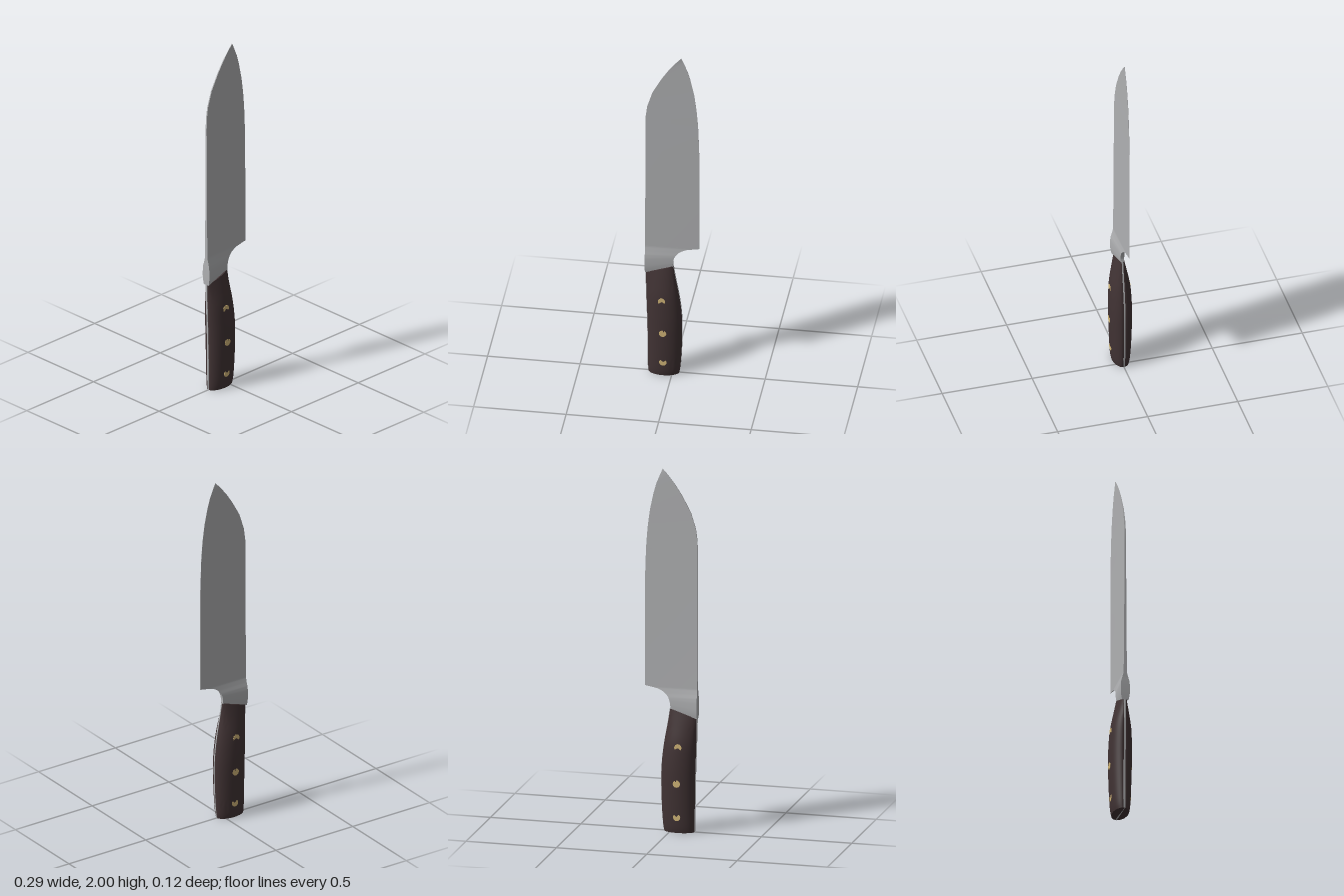
import * as THREE from 'three';
import { toCreasedNormals } from 'three/addons/utils/BufferGeometryUtils.js';

// Skins closed rings of [x, y, z] (counter-clockwise from above, bottom to top) and caps both ends
function loft(rings, crease) {
  const n = rings[0].length, pos = [], idx = [];
  rings.forEach(r => r.forEach(p => pos.push(...p)));
  for (let i = 0; i < rings.length - 1; i++) {
    for (let j = 0; j < n; j++) {
      const a = i * n + j, b = i * n + (j + 1) % n;
      idx.push(a, b, b + n, a, b + n, a + n);
    }
  }
  const top = (rings.length - 1) * n;
  for (let j = 1; j < n - 1; j++) {
    idx.push(0, j + 1, j);
    idx.push(top, top + j, top + j + 1);
  }
  const g = new THREE.BufferGeometry();
  g.setAttribute('position', new THREE.Float32BufferAttribute(pos, 3));
  g.setIndex(idx);
  return toCreasedNormals(g, crease);
}

// Wedge section: thick at the spine, thin at the cutting edge
// row: [y at spine, y at edge, spine x, edge x, spine half thickness, edge half thickness]
const wedge = ([yl, yr, x0, x1, ts, te]) =>
  [[x1, yr, te], [x1, yr, -te], [x0, yl, -ts], [x0, yl, ts]];

// Oval section; row: [y at spine, y at belly, spine x, belly x, half depth]
function oval([yl, yr, x0, x1, hz], n = 40) {
  return Array.from({ length: n }, (_, i) => {
    const a = i / n * Math.PI * 2, u = (1 + Math.cos(a)) / 2;
    return [x0 + (x1 - x0) * u, yl + (yr - yl) * u, -Math.sin(a) * hz];
  });
}

// Smoothly resamples rows along the length
function smoothRows(rows, steps) {
  const out = [];
  for (let i = 0; i < rows.length - 1; i++) {
    const [p, q, r, s] = [-1, 0, 1, 2].map(k => rows[Math.min(Math.max(i + k, 0), rows.length - 1)]);
    for (let k = 0; k < steps; k++) {
      const t = k / steps;
      out.push(q.map((v, c) => {
        const m0 = (r[c] - p[c]) / 2, m1 = (s[c] - v) / 2;
        return v + t * m0 + t * t * (3 * (r[c] - v) - 2 * m0 - m1) + t ** 3 * (2 * (v - r[c]) + m0 + m1);
      }));
    }
  }
  out.push(rows[rows.length - 1]);
  return out;
}

const BOLSTER = [
  [0.63, 0.675, -0.147, 0.004, 0.018, 0.009],
  [0.67, 0.69, -0.148, 0.002, 0.025, 0.010],
  [0.73, 0.73, -0.148, 0.010, 0.024, 0.010],
  [0.76, 0.76, -0.147, 0.032, 0.017, 0.006],
  [0.78, 0.78, -0.147, 0.068, 0.012, 0.003],
  [0.788, 0.788, -0.147, 0.105, 0.010, 0.0015],
  [0.795, 0.795, -0.147, 0.145, 0.009, 0.0008],
];

// Blade rows: [y, spine x, edge x, spine half thickness]
const BLADE = [
  [0.795, -0.147, 0.145, 0.009], [1.16, -0.147, 0.145, 0.006], [1.4, -0.147, 0.144, 0.005],
  [1.55, -0.147, 0.139, 0.004], [1.61, -0.146, 0.135, 0.004], [1.68, -0.137, 0.129, 0.0035],
  [1.77, -0.109, 0.117, 0.003], [1.86, -0.06, 0.098, 0.003], [1.92, -0.021, 0.081, 0.0025],
  [1.97, 0.019, 0.06, 0.002], [2, 0.046, 0.047, 0.001],
];

const HANDLE = [
  [0, 0, -0.13, 0.036, 0.044],
  [0.04, 0.04, -0.132, 0.043, 0.051],
  [0.15, 0.15, -0.133, 0.05, 0.057],
  [0.3, 0.3, -0.135, 0.053, 0.061],
  [0.4, 0.4, -0.138, 0.048, 0.06],
  [0.49, 0.5, -0.141, 0.035, 0.054],
  [0.57, 0.6, -0.143, 0.017, 0.037],
  [0.632, 0.678, -0.145, 0.005, 0.021],
];

export function createModel() {
  const steel = new THREE.MeshStandardMaterial({ color: 0xb0b1b3 });
  const wood = new THREE.MeshStandardMaterial({ color: 0x413334 });
  const brass = new THREE.MeshStandardMaterial({ color: 0xd2b678 });
  steel.name = 'steel';
  wood.name = 'darkWood';
  brass.name = 'brass';

  const knife = new THREE.Group();
  knife.name = 'kitchenKnife';
  const add = (name, geometry, material) => {
    const mesh = new THREE.Mesh(geometry, material);
    mesh.name = name;
    knife.add(mesh);
    return mesh;
  };

  // Blade and the flared bolster under its heel
  add('blade', loft(BLADE.map(([y, x0, x1, t]) => wedge([y, y, x0, x1, t, 0.0008])), 0.5), steel);
  add('bolster', loft(smoothRows(BOLSTER, 4).map(wedge), 0.7), steel);

  // Oval wooden handle, with the tang showing as a thin strip around it
  const rows = smoothRows(HANDLE, 4);
  add('handle', loft(rows.map(r => oval(r)), 0.8), wood);
  add('tang', loft(rows.map(([yl, yr, x0, x1]) =>
    wedge([yl, yr, x0 - 0.002, x1 + 0.001, 0.005, 0.004])), 0.5), steel);

  // Rivets run through the handle and end level with its curved sides
  for (const [x, y, half] of [[-0.052, 0.475, 0.0562], [-0.045, 0.275, 0.0607], [-0.045, 0.088, 0.0543]]) {
    const rivet = add('rivet', new THREE.CylinderGeometry(0.02, 0.02, half * 2, 24), brass);
    rivet.rotation.x = Math.PI / 2;
    rivet.position.set(x, y, 0);
  }
  return knife;
}
